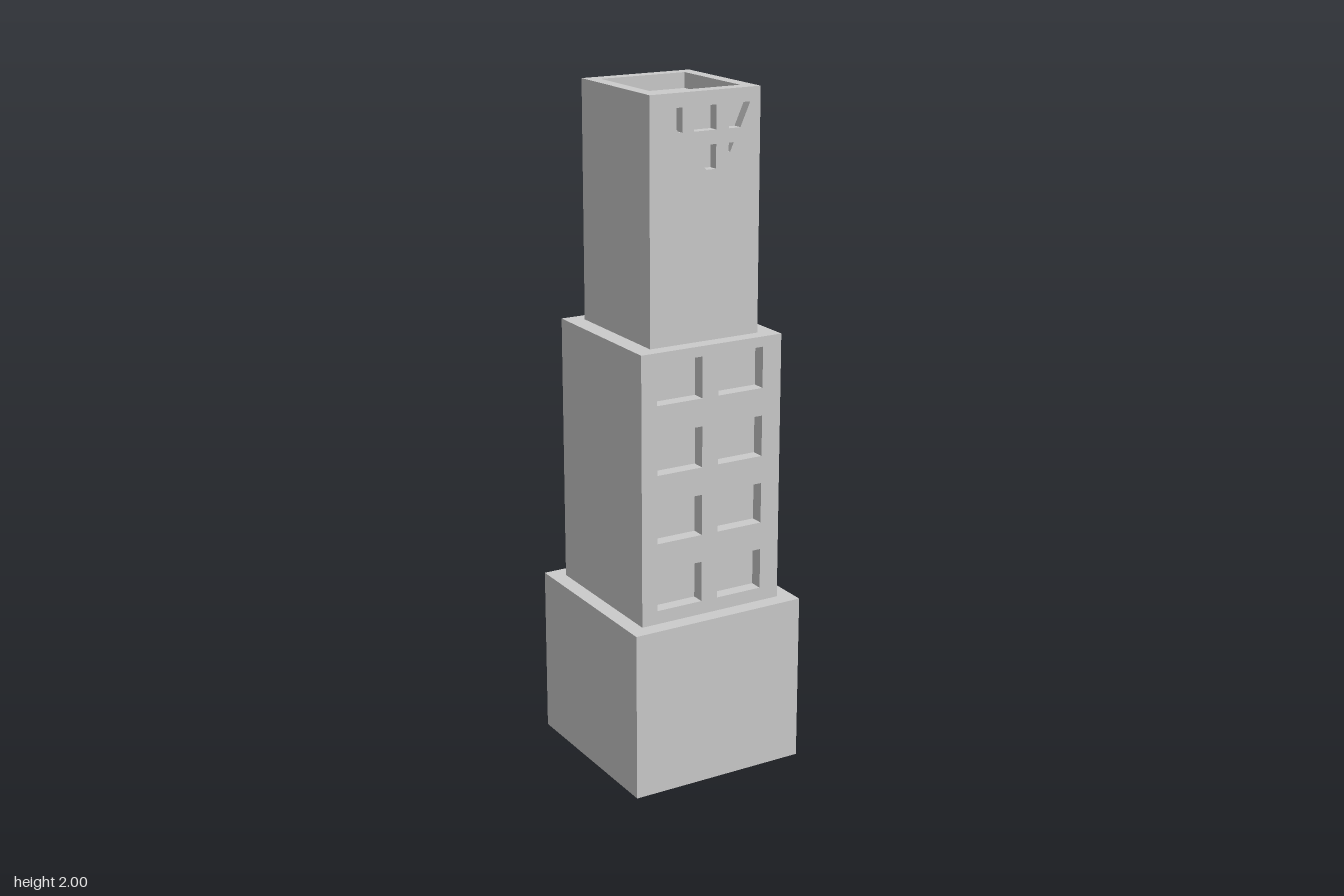
import * as THREE from 'three';
import { mergeGeometries } from 'three/addons/utils/BufferGeometryUtils.js';

const material = new THREE.MeshStandardMaterial({ color: 0xcccccc, flatShading: true });

const rect = (x0, y0, x1, y1) => [[x0, y0], [x1, y0], [x1, y1], [x0, y1]];

// Flat panel facing +z with blind pockets: face, pocket walls and pocket floors
function panel(outline, pockets = [], depth = 0) {
  const toPoints = (list) => {
    const pts = list.map(([x, y]) => new THREE.Vector2(x, y));
    return THREE.ShapeUtils.isClockWise(pts) ? pts.reverse() : pts;
  };
  const face = new THREE.Shape(toPoints(outline));
  const walls = [];
  const parts = [];
  for (const pocket of pockets) {
    const pts = toPoints(pocket);
    face.holes.push(new THREE.Path(pts));
    parts.push(new THREE.ShapeGeometry(new THREE.Shape(pts)).translate(0, 0, -depth));
    pts.forEach((p, i) => {
      const q = pts[(i + 1) % pts.length];
      walls.push(p.x, p.y, 0, q.x, q.y, 0, q.x, q.y, -depth);
      walls.push(p.x, p.y, 0, q.x, q.y, -depth, p.x, p.y, -depth);
    });
  }
  parts.push(new THREE.ShapeGeometry(face));
  const flat = parts.map((g) => {
    const n = g.toNonIndexed();
    n.deleteAttribute('uv');
    return n;
  });
  if (walls.length) {
    const g = new THREE.BufferGeometry();
    g.setAttribute('position', new THREE.Float32BufferAttribute(walls, 3));
    g.computeVertexNormals();
    flat.push(g);
  }
  return mergeGeometries(flat);
}

// Closed tower block; windows sink into the front, roofPockets into the top
function block(name, hx, hz, y0, y1, { windows, windowDepth, roofPockets, roofDepth } = {}) {
  const side = (h) => rect(-h, y0, h, y1);
  const roof = rect(-hx, -hz, hx, hz);
  const geometry = mergeGeometries([
    panel(side(hx), windows, windowDepth).translate(0, 0, hz),
    panel(side(hx)).translate(0, 0, hz).rotateY(Math.PI),
    panel(side(hz)).translate(0, 0, hx).rotateY(Math.PI / 2),
    panel(side(hz)).translate(0, 0, hx).rotateY(-Math.PI / 2),
    panel(roof, roofPockets, roofDepth).rotateX(-Math.PI / 2).translate(0, y1, 0),
    panel(roof).rotateX(Math.PI / 2).translate(0, y0, 0),
  ]);
  const mesh = new THREE.Mesh(geometry, material);
  mesh.name = name;
  return mesh;
}

export function createModel() {
  const tower = new THREE.Group();
  tower.name = 'tower';

  // Two columns of four windows
  const windows = [];
  for (let row = 0; row < 4; row++) {
    const y = 0.545 + row * 0.203;
    for (const x of [-0.178, 0.021]) windows.push(rect(x, y, x + 0.146, y + 0.121));
  }

  // Small openings near the top, clipped to a downward-pointing triangle
  const openings = [
    [[-0.142, 1.96], [-0.083, 1.892], [-0.073, 1.892], [-0.073, 1.96]],
    rect(-0.036, 1.892, 0.034, 1.96),
    [[0.074, 1.96], [0.074, 1.892], [0.111, 1.892], [0.142, 1.96]],
    [[-0.036, 1.853], [-0.036, 1.822], [0.004, 1.785], [0.034, 1.785], [0.034, 1.853]],
    [[0.074, 1.853], [0.074, 1.828], [0.079, 1.828], [0.09, 1.853]],
  ];

  tower.add(
    block('base', 0.275, 0.28, 0, 0.505),
    block('middleTier', 0.228, 0.232, 0.505, 1.305, { windows, windowDepth: 0.04 }),
    block('topTier', 0.175, 0.189, 1.305, 2, {
      windows: openings,
      windowDepth: 0.03,
      roofPockets: [rect(-0.136, -0.146, 0.136, 0.148)],
      roofDepth: 0.045,
    }),
  );
  return tower;
}
